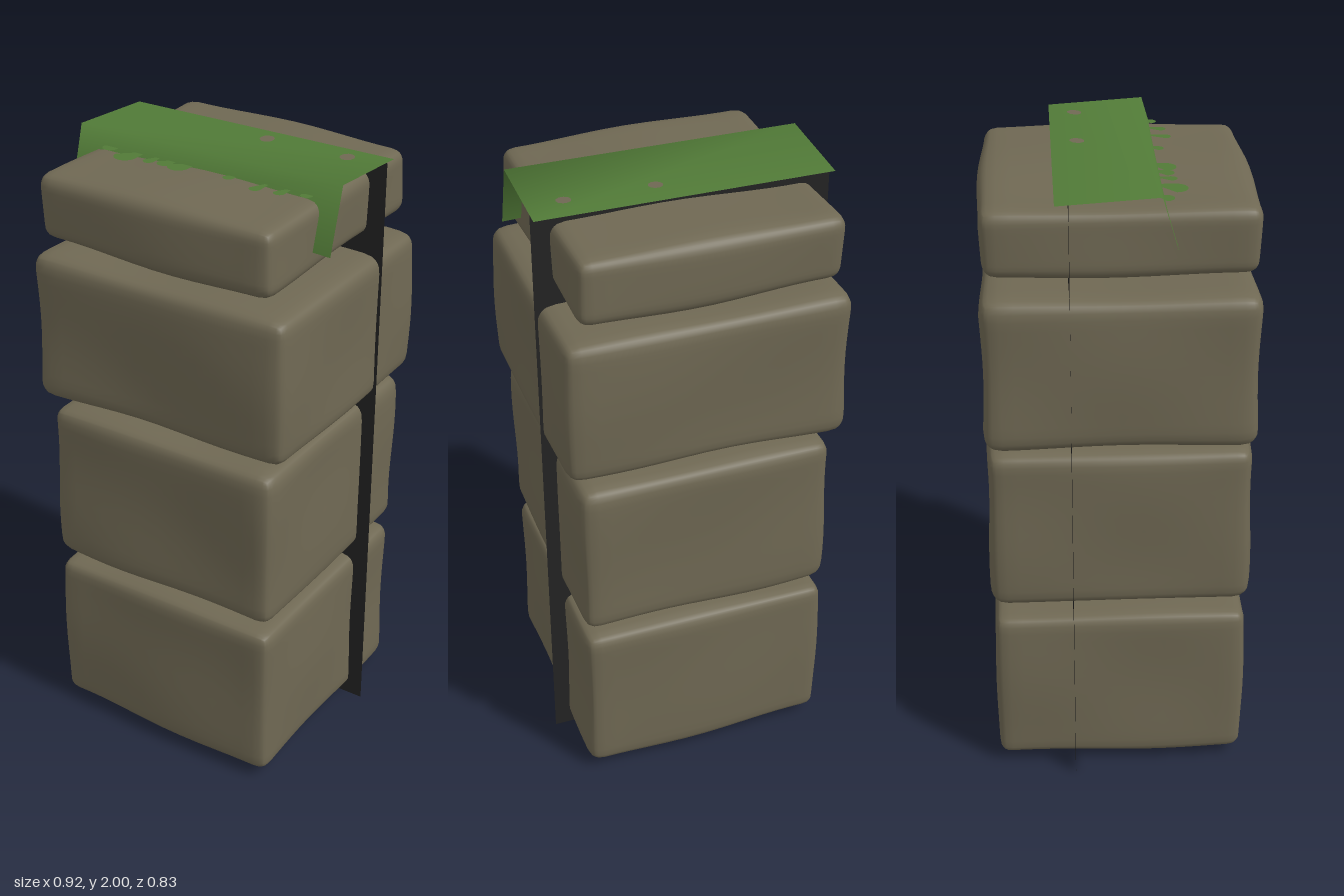
import * as THREE from 'three';
import { mergeVertices } from 'three/addons/utils/BufferGeometryUtils.js';

const stoneMat = new THREE.MeshStandardMaterial({ name: 'stone', color: 0x6f6853 });
const mossMat = new THREE.MeshStandardMaterial({ name: 'moss', color: 0x517a37, side: THREE.DoubleSide });
const darkMat = new THREE.MeshStandardMaterial({ name: 'dark backing', color: 0x232323, side: THREE.DoubleSide });

// Worn block: a box with rounded edges and gently uneven faces
function stoneGeometry(w, h, d, seed) {
  let g = new THREE.BoxGeometry(2, 2, 2, 18, 18, 18);
  g.deleteAttribute('uv');
  g.deleteAttribute('normal');
  g = mergeVertices(g);
  const p = g.attributes.position;
  const r = 0.05;
  const half = new THREE.Vector3(w / 2, h / 2, d / 2);
  const inner = half.clone().subScalar(r);
  const v = new THREE.Vector3(), c = new THREE.Vector3(), n = new THREE.Vector3();
  const crowd = (t) => Math.sin((t * Math.PI) / 2); // more rows near the edges
  for (let i = 0; i < p.count; i++) {
    v.set(crowd(p.getX(i)), crowd(p.getY(i)), crowd(p.getZ(i))).multiply(half);
    c.copy(v).clamp(inner.clone().negate(), inner);
    n.copy(v).sub(c).normalize();
    const bump = 0.005 * (Math.sin(v.x * 9 + seed) + Math.sin(v.y * 11 + seed * 2.3 + v.x * 4)
      * Math.cos(v.z * 8 + seed * 1.7)) - 0.004;
    v.copy(c).addScaledVector(n, r + bump);
    p.setXYZ(i, v.x, v.y, v.z);
  }
  g.computeVertexNormals();
  return g;
}

export function createModel() {
  const group = new THREE.Group();
  const add = (name, geometry, material, x = 0, y = 0, z = 0) => {
    const mesh = new THREE.Mesh(geometry, material);
    mesh.name = name;
    mesh.position.set(x, y, z);
    group.add(mesh);
    return mesh;
  };

  // Four stacked stones: x range, y range
  [
    ['bottomStone', -0.42, 0.41, 0.02, 0.58],
    ['lowerStone', -0.415, 0.41, 0.615, 1.16],
    ['upperStone', -0.45, 0.45, 1.195, 1.68],
    ['capStone', -0.42, 0.405, 1.725, 1.95],
  ].forEach(([name, x0, x1, y0, y1], i) =>
    add(name, stoneGeometry(x1 - x0, y1 - y0, 0.82, 1.3 + i * 2.1), stoneMat,
      (x0 + x1) / 2, (y0 + y1) / 2, 0));

  // Dark sheet running up through the stack
  add('backingSheet', new THREE.PlaneGeometry(0.918, 1.98), darkMat, -0.004, 0.99, -0.15);

  // Moss sheet folded over the top, its front edge sloping down to one side
  const moss = new THREE.PlaneGeometry(0.918, 1, 1, 2);
  const fold = [[1.98, -0.19], [2.0, 0.11], [1.8, 0.17]];
  const mp = moss.attributes.position;
  for (let i = 0; i < mp.count; i++) {
    const row = Math.floor(i / 2);
    const lift = row === 2 && mp.getX(i) < 0 ? 0.04 : 0;
    mp.setXYZ(i, mp.getX(i), fold[row][0] + lift, fold[row][1] - lift * 0.3);
  }
  moss.computeVertexNormals();
  add('mossSheet', moss, mossMat, -0.004);

  // Moss drips over the cap stone: centre x, half width, front end z
  [
    [-0.34, 0.025, 0.155], [-0.26, 0.036, 0.2], [-0.18, 0.018, 0.175], [-0.13, 0.024, 0.17],
    [-0.08, 0.034, 0.18], [0.09, 0.018, 0.155], [0.2, 0.018, 0.186], [0.275, 0.018, 0.175],
    [0.35, 0.018, 0.15],
  ].forEach(([x, hw, end]) => {
    const s = new THREE.Shape();
    s.moveTo(-hw, -0.1);
    s.absarc(0, -(end - hw), hw, Math.PI, Math.PI * 2, false);
    s.lineTo(hw, -0.1);
    add('mossDrip', new THREE.ShapeGeometry(s, 8), mossMat, x, 1.953, 0).rotation.x = -Math.PI / 2;
  });

  // Bare patches on the moss
  for (const x of [0.067, 0.343]) {
    const patch = add('barePatch', new THREE.CircleGeometry(0.023, 10), stoneMat, x, 1.989, -0.11);
    patch.rotation.x = -Math.PI / 2 + 0.066;
  }
  return group;
}
